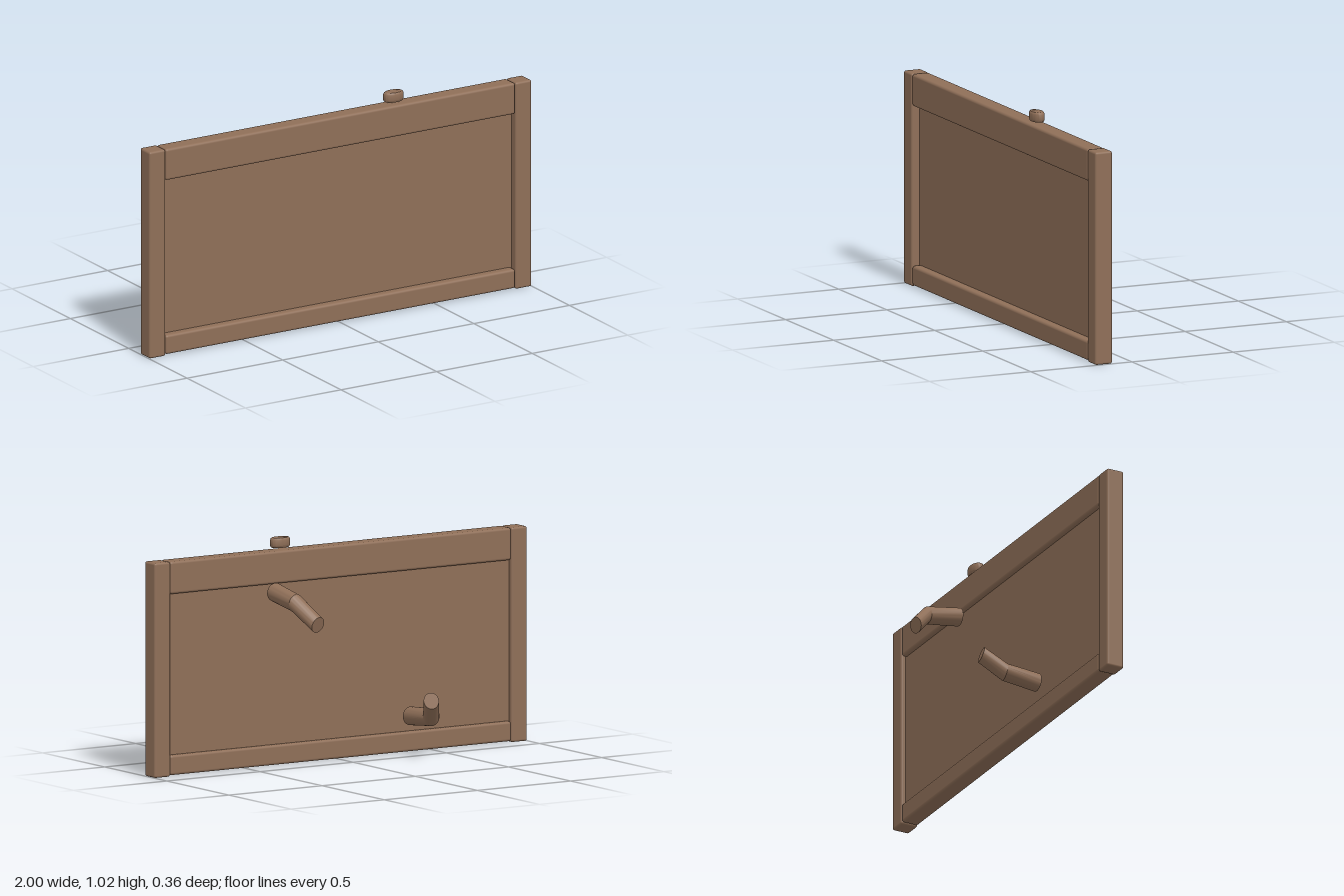
import * as THREE from 'three';
import { toCreasedNormals } from 'three/addons/utils/BufferGeometryUtils.js';
import { RoundedBoxGeometry } from 'three/addons/geometries/RoundedBoxGeometry.js';

const wood = new THREE.MeshStandardMaterial({ color: 0x8f6f58 });
wood.name = 'brown';

function add(group, name, geometry, x = 0, y = 0, z = 0) {
  const mesh = new THREE.Mesh(geometry, wood);
  mesh.name = name;
  mesh.position.set(x, y, z);
  group.add(mesh);
  return mesh;
}

// Bent peg: a cylinder whose three rings are placed at the given centres and tilts
function pegGeometry(rings) {
  const geometry = new THREE.CylinderGeometry(1, 1, 2, 32, 2);
  const up = new THREE.Vector3(0, 1, 0);
  const frames = rings.map(({ at, normal, radius }) => ({
    at: new THREE.Vector3(...at),
    turn: new THREE.Quaternion().setFromUnitVectors(up, new THREE.Vector3(...normal).normalize()),
    radius,
  }));
  const pos = geometry.attributes.position;
  const v = new THREE.Vector3();
  for (let i = 0; i < pos.count; i++) {
    v.fromBufferAttribute(pos, i);
    const frame = frames[Math.round(v.y) + 1];
    v.setY(0).multiplyScalar(frame.radius).applyQuaternion(frame.turn).add(frame.at);
    pos.setXYZ(i, v.x, v.y, v.z);
  }
  return toCreasedNormals(geometry, 0.45);
}

export function createModel() {
  const model = new THREE.Group();
  model.name = 'framedPanel';
  const z = 0.138;

  // Frame: two stiles, two rails and a thin recessed panel
  for (const [side, name] of [[1, 'leftStile'], [-1, 'rightStile']]) {
    add(model, name, new RoundedBoxGeometry(0.085, 0.97, 0.084, 4, 0.01), side * 0.9575, 0.485, z);
  }
  add(model, 'topRail', new RoundedBoxGeometry(1.83, 0.147, 0.082, 4, 0.012), 0, 0.8965, z);
  add(model, 'bottomRail', new RoundedBoxGeometry(1.83, 0.09, 0.082, 4, 0.012), 0, 0.05, z);
  add(model, 'panel', new THREE.BoxGeometry(1.85, 0.76, 0.022), 0, 0.46, 0.13);

  // Oval button with rounded rims floating above the top rail
  const profile = [
    [0, 0], [0.84, 0], [0.94, 0.003], [1, 0.01],
    [1, 0.035], [0.94, 0.042], [0.84, 0.045], [0, 0.045],
  ].map(([r, y]) => new THREE.Vector2(r, y));
  const button = toCreasedNormals(new THREE.LatheGeometry(profile, 40).scale(0.05, 1, 0.03), 0.7);
  add(model, 'button', button, 0.3, 0.98, z);

  // Bent pegs behind the panel
  add(model, 'upperPeg', pegGeometry([
    { at: [0.362, 0.788, 0.086], normal: [0, -0.07, -1], radius: 0.042 },
    { at: [0.362, 0.76, -0.079], normal: [-0.16, -0.16, -1], radius: 0.04 },
    { at: [0.3, 0.666, -0.167], normal: [-0.17, -0.28, -0.95], radius: 0.037 },
  ]));
  add(model, 'lowerPeg', pegGeometry([
    { at: [-0.366, 0.168, 0.086], normal: [0, 0.03, -1], radius: 0.042 },
    { at: [-0.366, 0.183, -0.079], normal: [0.16, 0.16, -1], radius: 0.04 },
    { at: [-0.308, 0.272, -0.167], normal: [0.17, 0.28, -0.95], radius: 0.037 },
  ]));

  return model;
}
